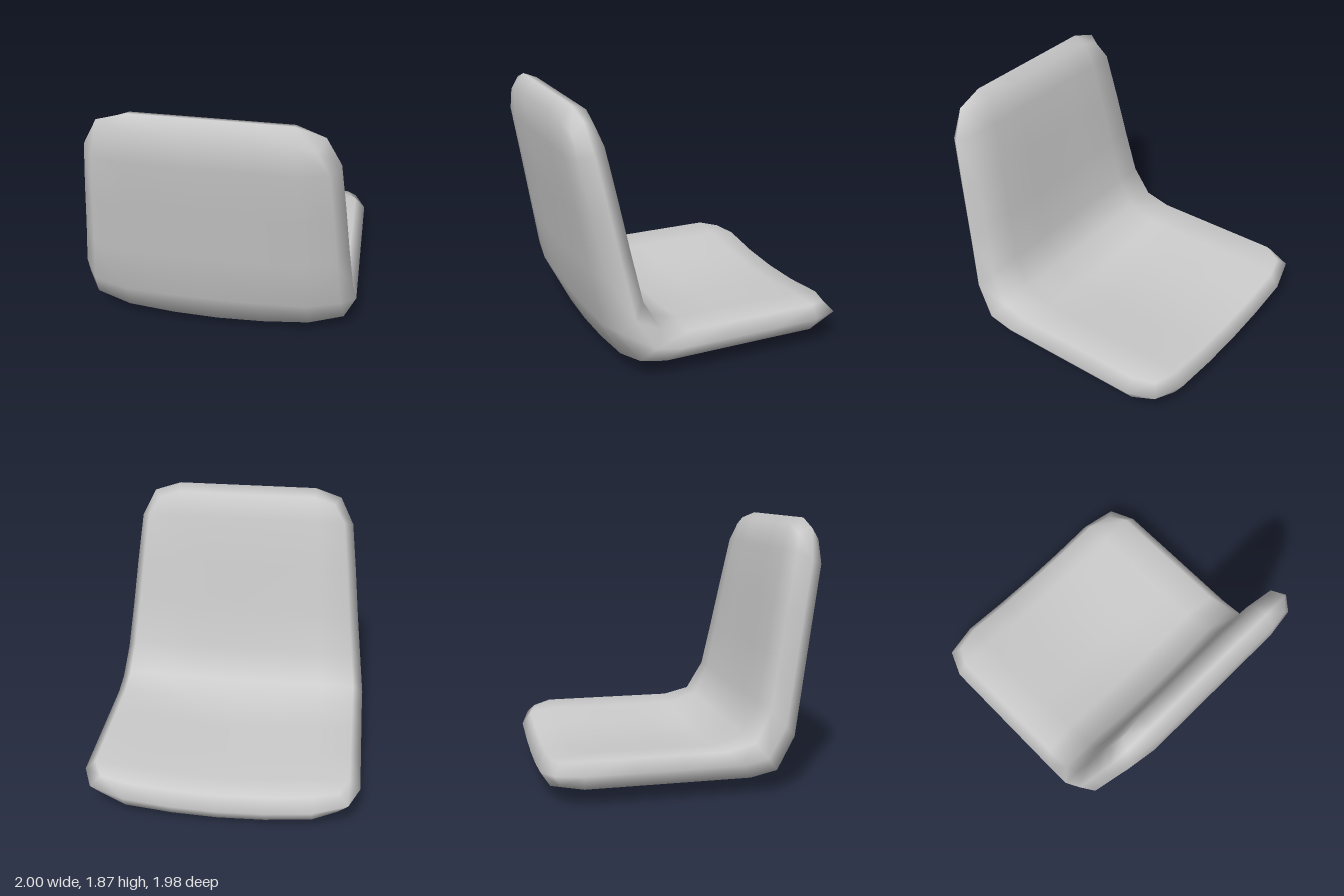
import * as THREE from 'three';
import { mergeVertices } from 'three/addons/utils/BufferGeometryUtils.js';

// Stations from the seat's free edge, round the bend, to the top of the backrest:
// [outer z, outer y, inner z, inner y, half width, lift of the sides]
const STATIONS = [
  [-0.985, 0.135, -0.985, 0.135, 1, 0.11],
  [-0.92, 0.035, -0.92, 0.23, 1, 0.11],
  [-0.72, 0, -0.74, 0.25, 1, 0.11],
  [-0.35, 0, -0.42, 0.25, 1, 0.11],
  [0.05, 0, -0.08, 0.25, 1, 0.11],
  [0.45, 0, 0.23, 0.25, 1, 0.11],
  [0.68, 0.08, 0.47, 0.34, 1, 0.08],
  [0.79, 0.34, 0.565, 0.59, 0.97, 0.03],
  [0.855, 0.74, 0.63, 0.95, 0.925, 0.02],
  [0.92, 1.15, 0.69, 1.3, 0.885, 0.01],
  [0.985, 1.55, 0.75, 1.65, 0.84, 0],
  [0.99, 1.78, 0.81, 1.83, 0.8, 0],
  [0.91, 1.87, 0.91, 1.87, 0.8, 0],
];
const COLUMNS = [-1, -0.92, -0.67, -0.33, 0, 0.33, 0.67, 0.92, 1];
const NI = COLUMNS.length - 1;
const NJ = STATIONS.length - 1;

const nearEnd = (k, n) => k <= 1 || k >= n - 1;
const atEnd = (k, n) => k === 0 || k === n;
const isCorner = (i, j) => nearEnd(i, NI) && nearEnd(j, NJ);

// Point on one face of the shell: side +1 is the inner (sitting) face, -1 the outer
function shellPoint(i, j, side) {
  let row = STATIONS[j];
  let u = COLUMNS[i];
  let thickness = atEnd(i, NI) ? 0 : nearEnd(i, NI) ? 0.76 : 1;
  if (isCorner(i, j)) {
    const near = j <= 1 ? 1 : NJ - 1;
    const next = j <= 1 ? 2 : NJ - 2;
    row = STATIONS[near];
    if (atEnd(i, NI) || atEnd(j, NJ)) {
      // rim corner, shared by both faces
      u = Math.sign(u) * 0.92;
      thickness = 0;
    } else {
      // face corner, pulled inwards to round the outline
      u = Math.sign(u) * 0.85;
      row = row.map((v, k) => THREE.MathUtils.lerp(v, STATIONS[next][k], 0.27));
    }
  }
  const [oz, oy, iz, iy, width, lift] = row;
  // the sides rise towards the sitting face
  const [a, b] = [STATIONS[Math.min(Math.max(j, 2), NJ - 2)]].map((s) => [s[2] - s[0], s[3] - s[1]])[0];
  const upright = j <= 5;
  const len = Math.hypot(a, b);
  const bend = lift * u * u;
  const dz = upright ? 0 : a / len;
  const dy = upright ? 1 : b / len;
  const t = (side * thickness) / 2;
  return [
    u * width,
    (oy + iy) / 2 + (iy - oy) * t + dy * bend,
    (oz + iz) / 2 + (iz - oz) * t + dz * bend,
  ];
}

function shellGeometry() {
  const positions = [];
  for (const side of [1, -1]) {
    for (let i = 0; i < NI; i++) {
      for (let j = 0; j < NJ; j++) {
        // the outermost corner cells shrink to the rim corner
        if (atEnd(i, NI - 1) && atEnd(j, NJ - 1)) continue;
        const quad = [[i, j], [i, j + 1], [i + 1, j + 1], [i + 1, j]].map(([a, b]) => shellPoint(a, b, side));
        if (side < 0) quad.reverse();
        const [p, q, r, s] = quad;
        positions.push(...p, ...q, ...r, ...p, ...r, ...s);
      }
    }
  }
  const geometry = new THREE.BufferGeometry();
  geometry.setAttribute('position', new THREE.Float32BufferAttribute(positions, 3));
  const welded = mergeVertices(geometry, 1e-4);
  welded.computeVertexNormals();
  return welded;
}

export function createModel() {
  const model = new THREE.Group();
  model.name = 'chairShell';
  // seat and backrest are one continuous padded shell
  const shell = new THREE.Mesh(shellGeometry(), new THREE.MeshStandardMaterial({ color: 0xcccccc }));
  shell.name = 'seatAndBackrest';
  model.add(shell);
  return model;
}
